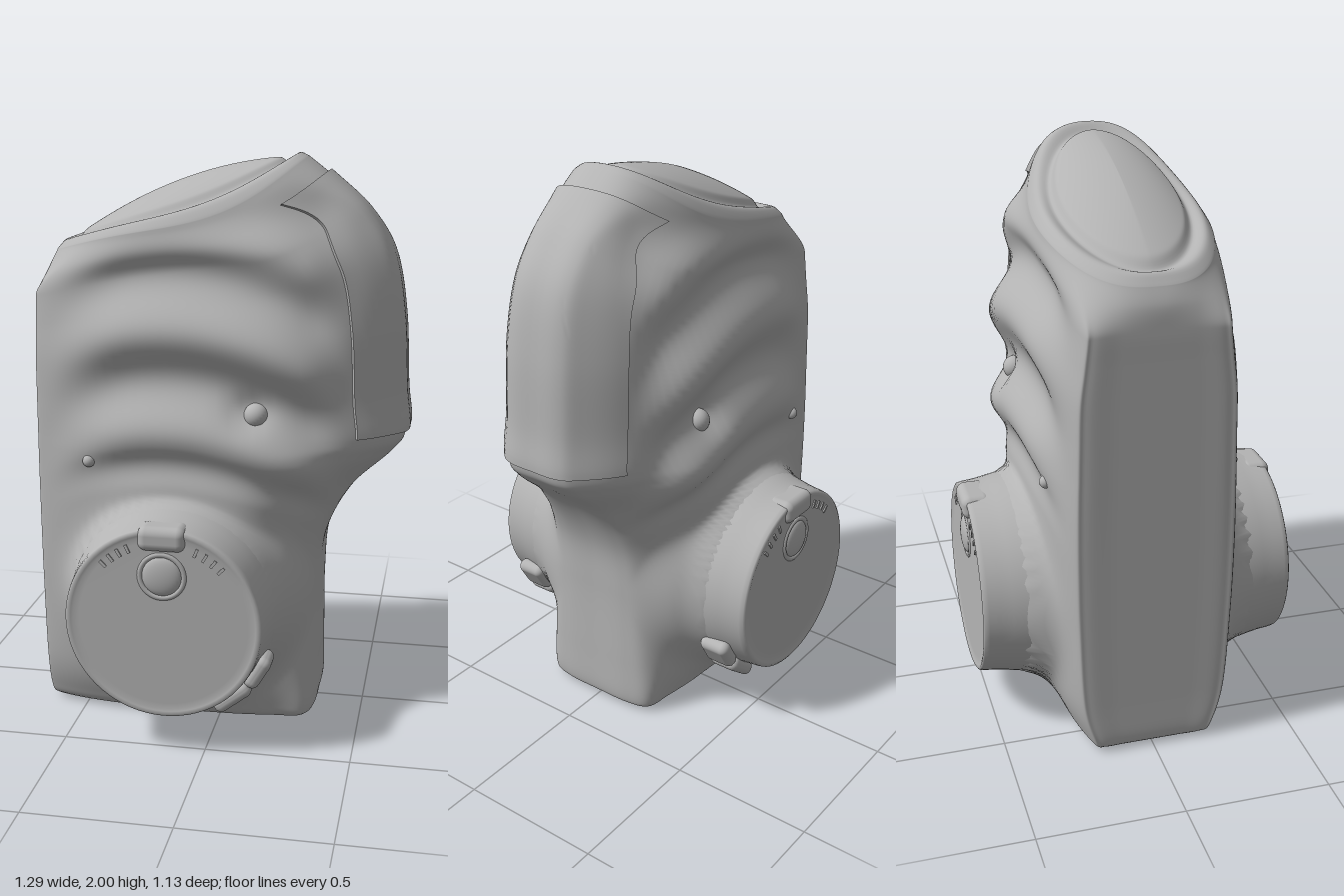
import * as THREE from 'three';
import { mergeVertices, toCreasedNormals } from 'three/addons/utils/BufferGeometryUtils.js';
import { RoundedBoxGeometry } from 'three/addons/geometries/RoundedBoxGeometry.js';
import { ParametricGeometry } from 'three/addons/geometries/ParametricGeometry.js';

const { clamp, lerp, smoothstep } = THREE.MathUtils;
const DRUM_X = -0.135, DRUM_Y = 0.475;

// Slices from base to tilted top: rear x, rear y, nose x, nose y, half width, nose width ratio
const ROWS = [
  [-0.59, 0, 0.29, 0, 0.22, 0.85],
  [-0.625, 0.012, 0.325, 0.012, 0.245, 0.85],
  [-0.64, 0.05, 0.34, 0.05, 0.275, 0.8],
  [-0.64, 0.2, 0.34, 0.2, 0.325, 0.66],
  [-0.64, 0.5, 0.34, 0.48, 0.345, 0.58],
  [-0.64, 0.72, 0.36, 0.68, 0.35, 0.54],
  [-0.64, 0.88, 0.45, 0.86, 0.35, 0.5],
  [-0.64, 0.99, 0.585, 0.99, 0.348, 0.46],
  [-0.64, 1.05, 0.628, 1.06, 0.346, 0.44],
  [-0.64, 1.15, 0.615, 1.2, 0.343, 0.42],
  [-0.64, 1.3, 0.6, 1.45, 0.337, 0.42],
  [-0.64, 1.42, 0.56, 1.66, 0.318, 0.42],
  [-0.64, 1.52, 0.475, 1.8, 0.303, 0.44],
  [-0.635, 1.6, 0.36, 1.91, 0.297, 0.47],
  [-0.61, 1.66, 0.265, 1.985, 0.285, 0.5],
];
const column = (i) => new THREE.SplineCurve(ROWS.map((r) => new THREE.Vector2(r[i], r[i + 1])));
const REAR = column(0), NOSE = column(2), WIDTH = column(4);

// Half outline of a slice: s runs rear to nose, w is the relative half width
function outline(u, n) {
  const pts = [[0, 0], [0, 0.4], [0, 0.69], [0.02, 0.79], [0.18, 0.92], [0.45, 1], [0.7, 0.99],
    [0.87, lerp(0.98, n, 0.45)], [0.97, n], [0.998, n * 0.6], [1, 0]];
  return new THREE.SplineCurve(pts.map((p) => new THREE.Vector2(...p))).getPoint(u);
}

// The top sags towards its sides, most of all near the nose
const sag = (s, z) => (0.1 + 0.9 * s * s) * (0.5 * z * z + 20 * z ** 4);

// Point on the body: a goes once around, t goes from base to top rim
function bodyPoint(a, t, target) {
  const u = a < 0.5 ? 2 * a : 2 - 2 * a;
  const side = a < 0.5 ? 1 : -1;
  const rear = REAR.getPoint(t), nose = NOSE.getPoint(t), width = WIDTH.getPoint(t);
  const o = outline(u, width.y);
  const oval = smoothstep(t, 0.86, 1);
  const s = lerp(o.x, 0.5 - 0.5 * Math.cos(Math.PI * u), oval);
  const w = lerp(o.y, Math.max(0, Math.sin(Math.PI * u)) ** 0.75, oval);
  const x = lerp(rear.x, nose.x, s);
  let z = width.x * w;
  const y = lerp(rear.y, nose.y, s) - sag(s, z) * smoothstep(t, 0.7, 1);
  // Arched finger ridges on both flanks
  const v = y + 0.6 * (x + 0.15) ** 2;
  const mask = smoothstep(x, -0.62, -0.3) * (1 - smoothstep(x, 0.3, 0.45))
    * smoothstep(v, 0.88, 1.04) * (1 - smoothstep(t, 0.86, 0.98));
  z += 0.034 * mask * w * Math.cos((2 * Math.PI * (v - 1.08)) / 0.352);
  // Dimple around the knob
  z -= 0.03 * w * Math.exp(-((x - 0.115) ** 2 + (y - 1.155) ** 2) / 0.0035);
  // Flare that swells out to meet the drum
  const r = Math.hypot(x - DRUM_X, y - DRUM_Y);
  const d = 0.24 + 0.19 * Math.exp(-Math.max(0, r - 0.35) / 0.05) - z;
  z += 0.5 * (d + Math.sqrt(d * d + 0.0008)) * (1 - smoothstep(r, 0.4, 0.475));
  return target.set(x, y, side * z);
}

// Closed top: rolled lip, groove, then a domed oval with pointed ends
function topPoint(a, q, target) {
  const rear = REAR.getPoint(1), nose = NOSE.getPoint(1);
  const r = 1 - q, xm = (rear.x + nose.x) / 2, inside = smoothstep(q, 0, 0.2);
  bodyPoint(a, 1, target);
  target.x = xm + (target.x - xm) * r;
  target.z *= r * (1 - 0.13 * inside) * Math.abs(Math.sin(2 * Math.PI * a)) ** (0.3 * inside);
  const s = (target.x - rear.x) / (nose.x - rear.x);
  const bump = (c, size) => Math.exp(-(((r - c) / size) ** 2));
  target.y = lerp(rear.y, nose.y, s) - sag(s, target.z) + 0.08 * (1 - r * r) - 0.12 * q * Math.abs(target.z)
    + 0.012 * bump(0.94, 0.04) - 0.018 * bump(0.85, 0.04);
  return target;
}

function smoothed(geometry) {
  geometry.deleteAttribute('uv');
  geometry.deleteAttribute('normal');
  const merged = mergeVertices(geometry, 1e-5);
  merged.computeVertexNormals();
  return merged;
}

function bodyGeometry() {
  return smoothed(new ParametricGeometry((a, v, target) => {
    if (v < 0.05) { // flat base
      bodyPoint(a, 0, target);
      target.set(lerp(-0.15, target.x, v / 0.05), 0, (target.z * v) / 0.05);
    } else if (v <= 0.75) bodyPoint(a, (v - 0.05) / 0.7, target);
    else topPoint(a, (v - 0.75) / 0.25, target);
  }, 160, 300));
}

// Raised plate that follows the nose of the body and narrows at the top
function plateGeometry() {
  const n = 40, p = new THREE.Vector3(), da = new THREE.Vector3(), dt = new THREE.Vector3();
  const inner = (k) => clamp((k * n - 1) / (n - 2), 0, 1);
  const geometry = new ParametricGeometry((i, j, target) => {
    const t = lerp(0.577, 0.945, inner(j));
    const reach = lerp(0.148, 0.132, smoothstep(t, 0.8, 0.93));
    const a = 0.5 + reach * (2 * inner(i) - 1);
    bodyPoint(a, t, p);
    bodyPoint(a + 0.002, t, da).sub(p);
    bodyPoint(a, t + 0.002, dt).sub(p);
    const edge = Math.min(i, j, 1 - i, 1 - j) < 0.5 / n;
    target.copy(p).addScaledVector(da.cross(dt).normalize(), edge ? -0.015 : 0.014);
  }, n, n);
  return toCreasedNormals(geometry, 0.7);
}

export function createModel() {
  const model = new THREE.Group();
  model.name = 'handGrip';
  const grey = new THREE.MeshStandardMaterial({ color: 0xb4b4b4 });
  grey.name = 'plain grey';
  const add = (name, geometry, x = 0, y = 0, z = 0) => {
    const mesh = new THREE.Mesh(geometry, grey);
    mesh.name = name;
    mesh.position.set(x, y, z);
    model.add(mesh);
    return mesh;
  };

  add('body', bodyGeometry());
  add('frontPlate', plateGeometry());

  const drum = [[0.365, 0.36], [0.358, 0.41], [0.35, 0.45], [0.343, 0.49], [0.339, 0.53],
    [0.336, 0.546], [0.328, 0.551], [0.318, 0.549], [0.31, 0.546], [0.29, 0.545], [0, 0.545]];

  for (const side of [1, -1]) {
    const label = side > 0 ? 'left' : 'right';
    // Round drum with its cap
    const lathe = new THREE.LatheGeometry(drum.map((p) => new THREE.Vector2(...p)), 72);
    add(label + 'Drum', lathe.rotateX((side * Math.PI) / 2), DRUM_X, DRUM_Y);

    // Tab and push button on the cap
    add(label + 'Tab', new RoundedBoxGeometry(0.165, 0.085, 0.105, 4, 0.03), DRUM_X, 0.775, side * 0.512);
    add(label + 'ButtonRing', new THREE.TorusGeometry(0.076, 0.01, 10, 40), DRUM_X, 0.645, side * 0.541);
    add(label + 'Button', new THREE.SphereGeometry(0.068, 32, 16).scale(1, 1, 0.3), DRUM_X, 0.645, side * 0.543);

    // Small grip ridges beside the tab
    for (const half of [1, -1]) {
      for (let i = 0; i < 4; i++) {
        const angle = Math.PI / 2 + half * (0.42 + i * 0.12);
        const ridge = add(label + 'CapRidge', new THREE.BoxGeometry(0.03, 0.01, 0.01),
          DRUM_X + 0.285 * Math.cos(angle), DRUM_Y + 0.285 * Math.sin(angle), side * 0.545);
        ridge.rotation.z = angle;
      }
    }

    // Two-part latch on the drum wall
    for (const [degrees, length] of [[-31, 0.125], [-52, 0.15]]) {
      const angle = (degrees * Math.PI) / 180;
      const latch = add(label + 'Latch', new RoundedBoxGeometry(0.055, length, 0.115, 4, 0.025),
        DRUM_X + 0.362 * Math.cos(angle), DRUM_Y + 0.362 * Math.sin(angle), side * 0.432);
      latch.rotation.z = angle;
    }

    // Knob in its dimple and the small pin
    add(label + 'Knob', new THREE.SphereGeometry(0.042, 24, 16), 0.14, 1.148, side * 0.3);
    add(label + 'Pin', new THREE.SphereGeometry(0.022, 16, 12), -0.44, 0.965, side * 0.322);
  }
  return model;
}
